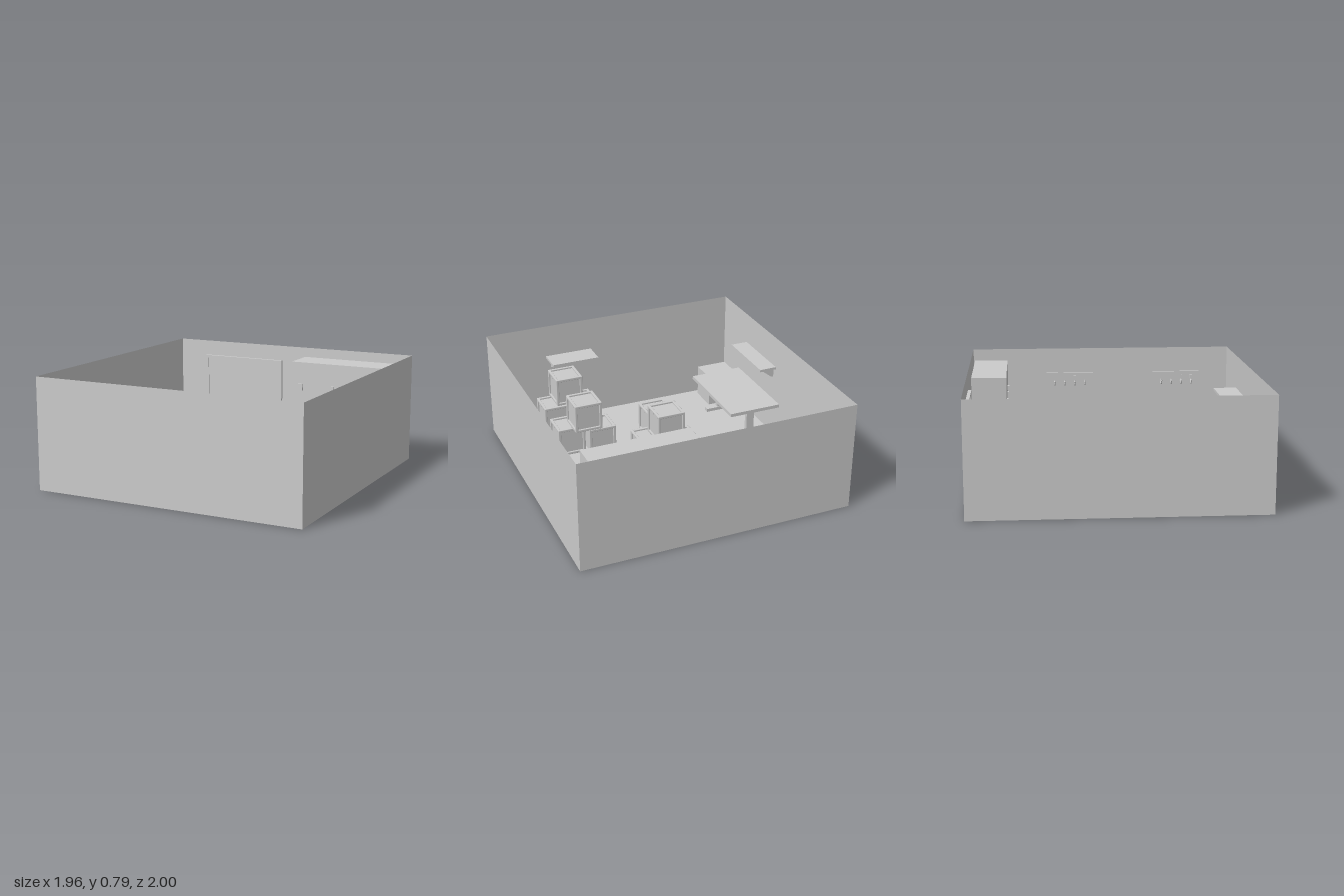
import * as THREE from 'three';
import { RoundedBoxGeometry } from 'three/addons/geometries/RoundedBoxGeometry.js';

const mat = new THREE.MeshStandardMaterial({ color: 0xcccccc });
const sheet = new THREE.MeshStandardMaterial({ color: 0xcccccc, side: THREE.DoubleSide });

function add(parent, name, geometry, material = mat) {
  const mesh = new THREE.Mesh(geometry, material);
  mesh.name = name;
  parent.add(mesh);
  return mesh;
}

// Box given by its limits on each axis
function block(parent, name, x0, x1, y0, y1, z0, z1) {
  const mesh = add(parent, name, new THREE.BoxGeometry(x1 - x0, y1 - y0, z1 - z0));
  mesh.position.set((x0 + x1) / 2, (y0 + y1) / 2, (z0 + z1) / 2);
  return mesh;
}

function group(parent, name) {
  const g = new THREE.Group();
  g.name = name;
  parent.add(g);
  return g;
}

// Open-topped room of thin sheets
function room(parent) {
  const geo = new THREE.BoxGeometry(1.96, 0.79, 2);
  const index = Array.from(geo.index.array);
  index.splice(12, 6);
  geo.setIndex(index);
  geo.clearGroups();
  add(parent, 'roomWallsAndFloor', geo, sheet).position.y = 0.395;
}

// Crate: recessed panels inside a frame of twelve rails
function crate(parent, x, y, z) {
  const S = 0.208, H = 0.215, t = 0.02;
  const g = group(parent, 'crate');
  g.position.set(x, y + H / 2, z);
  add(g, 'cratePanels', new THREE.BoxGeometry(S - 0.024, H - 0.024, S - 0.024));
  const size = [S, H, S];
  for (let axis = 0; axis < 3; axis++) {
    const dims = [t, t, t];
    dims[axis] = size[axis];
    const geo = new RoundedBoxGeometry(...dims, 1, 0.004);
    const [a, b] = [0, 1, 2].filter(i => i !== axis);
    for (const i of [-1, 1]) for (const j of [-1, 1]) {
      const p = [0, 0, 0];
      p[a] = i * (size[a] - t) / 2;
      p[b] = j * (size[b] - t) / 2;
      add(g, 'crateRail', geo).position.set(...p);
    }
  }
}

// Wall shelf; its back lies on z = 0 and it reaches towards -z
function shelf(parent, width, depth, top) {
  const g = group(parent, 'wallShelf');
  block(g, 'shelfBoard', -width / 2, width / 2, top - 0.018, top, -depth, 0);
  const side = new THREE.Shape([
    new THREE.Vector2(0, 0), new THREE.Vector2(depth * 0.75, 0),
    new THREE.Vector2(depth * 0.75, -0.012), new THREE.Vector2(0.015, -0.075),
    new THREE.Vector2(0, -0.075),
  ]);
  const geo = new THREE.ExtrudeGeometry(side, { depth: 0.012, bevelEnabled: false });
  for (const s of [-1, 1]) {
    const bracket = add(g, 'shelfBracket', geo);
    bracket.rotation.y = Math.PI / 2;
    bracket.position.set(s * (width / 2 - 0.04) - 0.006, top - 0.018, 0);
  }
  return g;
}

// Rail with four curved hooks on the +x wall
function hookRack(parent, z) {
  const g = group(parent, 'hookRack');
  g.position.z = z;
  block(g, 'hookBoard', 0.96, 0.979, 0.475, 0.6, -0.183, 0.183);
  const path = new THREE.CatmullRomCurve3([
    [0.962, 0.555], [0.95, 0.525], [0.935, 0.508], [0.918, 0.512], [0.91, 0.535],
  ].map(([x, y]) => new THREE.Vector3(x, y, 0)));
  const hook = new THREE.TubeGeometry(path, 12, 0.005, 6);
  for (let i = 0; i < 4; i++) {
    const hz = (i - 1.5) * 0.079;
    add(g, 'hook', hook).position.z = hz;
    add(g, 'hookTip', new THREE.SphereGeometry(0.007, 8, 6)).position.set(0.91, 0.535, hz);
    block(g, 'hookPlate', 0.953, 0.961, 0.52, 0.575, hz - 0.01, hz + 0.01);
  }
}

// Framed board with a ledge on the back wall
function wallBoard(parent) {
  const g = group(parent, 'wallBoard');
  block(g, 'boardPanel', -0.73, -0.1, 0.3, 0.66, -0.999, -0.988);
  block(g, 'boardTopFrame', -0.75, -0.08, 0.655, 0.675, -0.999, -0.975);
  block(g, 'boardLedge', -0.75, -0.08, 0.28, 0.305, -0.999, -0.968);
  for (const x of [-0.75, -0.1]) block(g, 'boardSideFrame', x, x + 0.02, 0.3, 0.66, -0.999, -0.98);
}

// Tall cupboard with two rows of three handles
function cupboard(parent) {
  const g = group(parent, 'cupboard');
  block(g, 'cupboardBody', 0.12, 0.865, 0, 0.72, -0.985, -0.735);
  for (const x of [0.195, 0.445, 0.695]) for (const y of [0.165, 0.53]) {
    block(g, 'cupboardHandle', x - 0.018, x + 0.018, y - 0.025, y + 0.025, -0.736, -0.722);
  }
}

// Table on two trestles
function table(parent) {
  const g = group(parent, 'table');
  block(g, 'tableTop', -0.979, -0.577, 0.26, 0.285, 0.042, 0.728);
  for (const z of [0.135, 0.645]) {
    block(g, 'tableFoot', -0.9, -0.66, 0, 0.025, z - 0.02, z + 0.02);
    block(g, 'tablePost', -0.81, -0.75, 0.025, 0.235, z - 0.015, z + 0.015);
    block(g, 'tableBearer', -0.9, -0.66, 0.235, 0.26, z - 0.02, z + 0.02);
  }
}

export function createModel() {
  const model = new THREE.Group();
  model.name = 'storeRoom';
  room(model);
  wallBoard(model);
  cupboard(model);
  table(model);
  block(model, 'sideCabinet', -0.96, -0.725, 0, 0.24, 0.735, 0.95);

  hookRack(model, -0.25);
  hookRack(model, 0.592);

  // Shelves on the front wall and the -x wall
  shelf(model, 0.36, 0.172, 0.545).position.set(0.35, 0, 0.999);
  const sideShelf = shelf(model, 0.485, 0.13, 0.56);
  sideShelf.rotation.y = -Math.PI / 2;
  sideShelf.scale.z = 1;
  sideShelf.position.set(-0.979, 0, 0.365);
  sideShelf.rotation.y = Math.PI * 1.5;

  // Crates as [x, level, z]
  const crates = [
    [-0.167, 0, 0.03], [0.045, 0, 0.125], [-0.065, 1, 0.062], [-0.167, 0, 0.495],
    [0.325, 0, 0.437], [0.537, 0, 0.517], [0.43, 1, 0.437],
    [0.312, 0, 0.877], [0.525, 0, 0.877], [0.42, 1, 0.892],
  ];
  for (const [x, level, z] of crates) crate(model, x, level * 0.215, z);
  return model;
}
